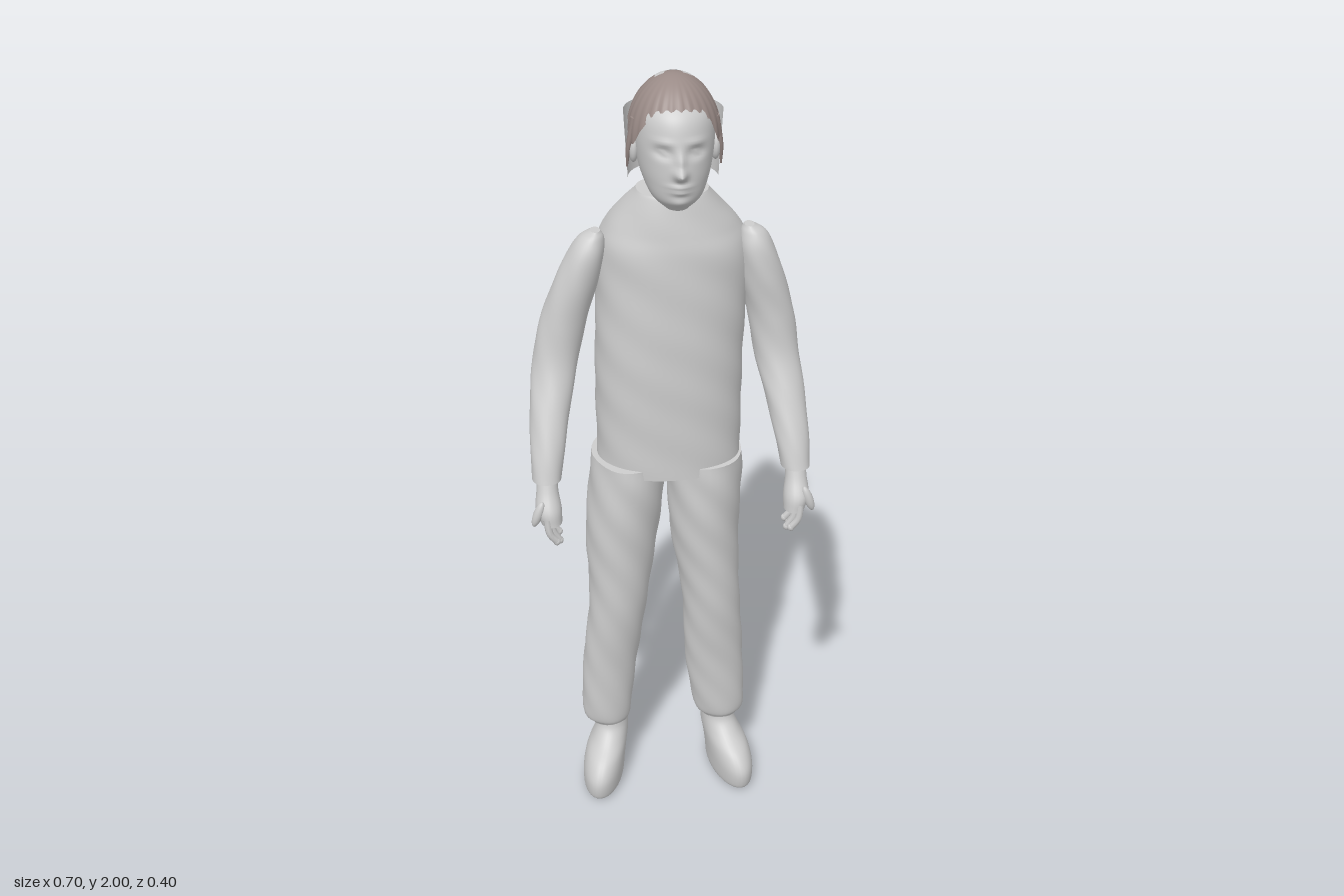
import * as THREE from 'three';
import { ParametricGeometry } from 'three/addons/geometries/ParametricGeometry.js';

const clothSkin = new THREE.MeshStandardMaterial({ color: 0xcccccc, side: THREE.DoubleSide });
clothSkin.name = 'light grey';
const hairBrown = new THREE.MeshStandardMaterial({ color: 0x9a8b87, side: THREE.DoubleSide });
hairBrown.name = 'grey brown hair';

const CX = 0.015; // head and torso sit slightly to the model's left

// Smooth closed body through horizontal rings [y, cx, cz, rx, rz], bottom to top
function loft(sections, { rows = 32, seg = 32, square = 1, rule } = {}) {
  const centre = new THREE.CatmullRomCurve3(sections.map(s => new THREE.Vector3(s[1], s[0], s[2])), false, 'catmullrom');
  const radius = new THREE.CatmullRomCurve3(sections.map(s => new THREE.Vector3(s[3], s[4], 0)), false, 'catmullrom');
  const pos = [], index = [];
  const power = v => Math.sign(v) * Math.abs(v) ** square;
  const p = new THREE.Vector3();
  for (let i = 0; i <= rows; i++) {
    const c = centre.getPoint(i / rows), r = radius.getPoint(i / rows);
    for (let j = 0; j < seg; j++) {
      const a = j / seg * Math.PI * 2;
      p.set(c.x + power(Math.sin(a)) * r.x, c.y, c.z + power(Math.cos(a)) * r.y);
      if (rule) rule(p, a, c);
      pos.push(p.x, p.y, p.z);
    }
  }
  for (let i = 0; i < rows; i++) for (let j = 0; j < seg; j++) {
    const a = i * seg + j, b = i * seg + (j + 1) % seg;
    index.push(a, b, a + seg, b, b + seg, a + seg);
  }
  // Flat end caps with their own vertices
  for (const [row, up] of [[0, false], [rows, true]]) {
    const start = pos.length / 3;
    for (let j = 0; j < seg; j++) pos.push(...pos.slice((row * seg + j) * 3, (row * seg + j) * 3 + 3));
    const c = centre.getPoint(row / rows);
    pos.push(c.x, c.y, c.z);
    for (let j = 0; j < seg; j++) {
      const a = start + j, b = start + (j + 1) % seg;
      index.push(start + seg, up ? a : b, up ? b : a);
    }
  }
  const g = new THREE.BufferGeometry();
  g.setAttribute('position', new THREE.Float32BufferAttribute(pos, 3));
  g.setIndex(index);
  g.computeVertexNormals();
  return g;
}

function add(group, name, geometry, material = clothSkin) {
  const m = new THREE.Mesh(geometry, material);
  m.name = name;
  group.add(m);
  return m;
}

function ellipsoid(group, name, [x, y, z], [rx, ry, rz], material) {
  const m = add(group, name, new THREE.SphereGeometry(1, 16, 12), material);
  m.position.set(x, y, z);
  m.scale.set(rx, ry, rz);
  return m;
}

// Soft folds in the cloth
const folds = amount => (p, a, c) => {
  const k = 1 + amount * Math.sin(p.y * 31 + 2 * a) * Math.sin(p.y * 17 + 3 * a);
  p.x = c.x + (p.x - c.x) * k;
  p.z = c.z + (p.z - c.z) * k;
};

function buildHead() {
  const head = new THREE.Group();
  head.name = 'head';
  // Facial relief: [x, y, width, height, depth]
  const relief = [
    [0, 1.808, 0.013, 0.013, 0.028], [0, 1.835, 0.01, 0.022, 0.013],
    [0, 1.778, 0.024, 0.006, 0.008], [0, 1.765, 0.02, 0.006, 0.008], [0, 1.738, 0.022, 0.012, 0.007],
    [-0.037, 1.853, 0.02, 0.012, -0.013], [0.037, 1.853, 0.02, 0.012, -0.013],
    [-0.037, 1.853, 0.009, 0.005, 0.008], [0.037, 1.853, 0.009, 0.005, 0.008],
    [-0.037, 1.877, 0.022, 0.007, 0.004], [0.037, 1.877, 0.022, 0.007, 0.004],
  ];
  add(head, 'face', loft([
    [1.712, CX, 0.08, 0.028, 0.04], [1.74, CX, 0.074, 0.058, 0.07], [1.78, CX, 0.048, 0.077, 0.104],
    [1.82, CX, 0.034, 0.087, 0.118], [1.87, CX, 0.028, 0.092, 0.12], [1.92, CX, 0.022, 0.09, 0.112],
    [1.955, CX, 0.02, 0.07, 0.082], [1.985, CX, 0.02, 0.035, 0.042], [1.99, CX, 0.02, 0.002, 0.002],
  ], {
    rows: 72, seg: 80, rule: p => {
      if (p.z < 0.06) return;
      for (const [x, y, w, h, d] of relief)
        p.z += d * Math.exp(-(((p.x - CX - x) / w) ** 2) - ((p.y - y) / h) ** 2);
    },
  }));
  add(head, 'neck', loft([[1.62, CX, -0.01, 0.07, 0.065], [1.7, CX, 0, 0.058, 0.06], [1.79, CX, 0.01, 0.06, 0.065]]));

  // Open shell around the back of the head
  const shell = add(head, 'backOfHead', new THREE.CylinderGeometry(1, 0.92, 0.16, 32, 4, true, Math.PI / 2, Math.PI));
  shell.position.set(CX, 1.835, 0.015);
  shell.scale.set(0.114, 1, 0.122);

  // Hair dome with an uneven hairline
  add(head, 'hairCap', new ParametricGeometry((u, v, t) => {
    const a = u * Math.PI * 2, front = Math.cos(a);
    const temple = Math.exp(-(((Math.abs(Math.sin(a)) - 0.9) / 0.12) ** 2)) * (front > 0 ? 1 : 0);
    const edge = 1.9 + 0.034 * Math.max(front, 0) ** 2 - 0.05 * temple + 0.005 * Math.sin(a * 17);
    const theta = (1 - v) * Math.acos((edge - 1.86) / 0.14);
    const s = Math.sin(theta) * (1 + 0.012 * Math.sin(a * 26) * (1 - v));
    t.set(CX + 0.107 * s * Math.sin(a), 1.86 + 0.14 * Math.cos(theta), 0.016 + 0.124 * s * front);
  }, 96, 20), hairBrown);

  // Bare patch showing through on the crown
  const patch = add(head, 'scalpPatch', new THREE.SphereGeometry(1, 24, 6, Math.PI, Math.PI, 0.2, 0.2));
  patch.position.set(CX, 1.86, 0.016);
  patch.scale.set(0.109, 0.1405, 0.126);

  for (const s of [-1, 1]) {
    ellipsoid(head, 'ear', [CX + s * 0.094, 1.835, 0.035], [0.012, 0.033, 0.02]);
    add(head, 'templeStrand', loft([
      [1.79, CX + s * 0.108, 0.03, 0.002, 0.003], [1.84, CX + s * 0.105, 0.04, 0.006, 0.011],
      [1.91, CX + s * 0.092, 0.045, 0.008, 0.014],
    ], { rows: 10, seg: 10 }), hairBrown);
  }

  // Gathered ponytail with ridged strands
  ellipsoid(head, 'ponytailKnot', [0.015, 1.93, -0.108], [0.024, 0.026, 0.035], hairBrown);
  add(head, 'ponytail', loft([
    [1.635, 0.03, -0.158, 0.004, 0.004], [1.68, 0.026, -0.156, 0.024, 0.017], [1.75, 0.022, -0.151, 0.042, 0.029],
    [1.83, 0.02, -0.145, 0.047, 0.031], [1.9, 0.018, -0.134, 0.036, 0.028], [1.94, 0.016, -0.125, 0.022, 0.021],
    [1.955, 0.015, -0.12, 0.004, 0.004],
  ], {
    rows: 40, seg: 96, rule: (p, a, c) => {
      const k = 1 + 0.09 * Math.sin(a * 16 + p.y * 20);
      p.x = c.x + (p.x - c.x) * k;
      p.z = c.z + (p.z - c.z) * k;
    },
  }), hairBrown);
  return head;
}

function buildArm(s) {
  const arm = new THREE.Group();
  arm.name = s > 0 ? 'leftArm' : 'rightArm';
  const dx = s > 0 ? 0.03 : 0; // the left shoulder sits further out
  // Sleeve, from cuff to shoulder
  add(arm, 'sleeve', loft([
    [1.035, s * 0.309, 0.125, 0.036, 0.038], [1.1, s * 0.303, 0.1, 0.042, 0.043], [1.2, s * 0.29, 0.053, 0.05, 0.048],
    [1.3, s * 0.272, 0.008, 0.056, 0.052], [1.4, s * 0.25 + dx * 0.2, -0.005, 0.057, 0.055],
    [1.5, s * 0.217 + dx * 0.5, -0.002, 0.053, 0.056], [1.57, s * 0.192 + dx * 0.8, 0.001, 0.044, 0.05],
    [1.61, s * 0.178 + dx, 0.001, 0.031, 0.036], [1.628, s * 0.168 + dx, 0.001, 0.012, 0.02],
  ], { rows: 48, rule: folds(0.025) }));
  // Wrist and palm
  add(arm, 'palm', loft([
    [0.935, s * 0.302, 0.165, 0.026, 0.033], [0.97, s * 0.308, 0.156, 0.032, 0.038],
    [1.01, s * 0.309, 0.14, 0.027, 0.03], [1.05, s * 0.308, 0.125, 0.026, 0.027],
  ], { seg: 20, rows: 14 }));
  for (let i = 0; i < 4; i++) {
    const z = 0.142 + i * 0.016, x = 0.292 + (i % 2) * 0.008;
    const path = new THREE.CatmullRomCurve3([
      new THREE.Vector3(s * (x + 0.014), 0.955, z), new THREE.Vector3(s * (x + 0.008), 0.915, z + 0.003),
      new THREE.Vector3(s * (x - 0.008), 0.882 + Math.abs(i - 1.5) * 0.006, z),
    ]);
    add(arm, 'finger', new THREE.TubeGeometry(path, 8, 0.009, 8));
    const tip = path.getPoint(1);
    ellipsoid(arm, 'fingertip', [tip.x, tip.y, tip.z], [0.009, 0.01, 0.009]);
  }
  const thumb = ellipsoid(arm, 'thumb', [s * 0.335, 0.965, 0.178], [0.012, 0.036, 0.013]);
  thumb.rotation.z = s * 0.35;
  return arm;
}

function buildLeg(s) {
  const leg = new THREE.Group();
  leg.name = s > 0 ? 'leftLeg' : 'rightLeg';
  // Trouser centres differ a little between the two sides
  const rows = s > 0
    ? [[0.18, 0.15, 0.05], [0.22, 0.147, 0.07], [0.4, 0.131, 0.079], [0.6, 0.117, 0.077], [0.8, 0.102, 0.09], [0.95, 0.1, 0.096], [1.02, 0.099, 0.095]]
    : [[0.18, -0.16, 0.05], [0.22, -0.165, 0.066], [0.4, -0.152, 0.073], [0.6, -0.13, 0.077], [0.8, -0.114, 0.094], [0.95, -0.1, 0.097], [1.02, -0.094, 0.095]];
  const depth = [[0, 0.045], [0, 0.056], [0.003, 0.063], [0.012, 0.078], [-0.007, 0.107], [-0.02, 0.125], [-0.024, 0.128]];
  add(leg, 'trouserLeg', loft(rows.map(([y, x, r], i) => [y, x, depth[i][0], r, depth[i][1]]), { rows: 56, rule: folds(0.03) }));
  // Rounded shoe, toes turned slightly out
  const x = s > 0 ? 0.165 : -0.17;
  add(leg, 'shoe', loft([
    [0, x + s * 0.01, 0.03, 0.047, 0.105], [0.015, x + s * 0.01, 0.031, 0.055, 0.119], [0.06, x + s * 0.008, 0.031, 0.057, 0.122],
    [0.1, x + s * 0.002, 0.02, 0.055, 0.108], [0.135, x - s * 0.008, 0.001, 0.049, 0.08],
    [0.165, x - s * 0.014, -0.002, 0.044, 0.054], [0.195, x - s * 0.016, -0.002, 0.042, 0.045],
  ], { rows: 36, rule: p => { p.x += s * 0.16 * (p.z - 0.03); } }));
  return leg;
}

export function createModel() {
  const model = new THREE.Group();
  model.name = 'standingFigure';

  // Loose top with sloping shoulders and a high collar
  add(model, 'top', loft([
    [0.995, 0.008, -0.024, 0.182, 0.13], [1.06, 0.008, -0.026, 0.182, 0.133], [1.2, 0.01, -0.031, 0.183, 0.139],
    [1.35, 0.012, -0.037, 0.183, 0.143], [1.5, 0.018, -0.046, 0.184, 0.149], [1.58, 0.02, -0.05, 0.181, 0.15],
    [1.63, 0.019, -0.047, 0.158, 0.138], [1.68, 0.016, -0.026, 0.12, 0.107],
    [1.715, CX, -0.007, 0.092, 0.08], [1.725, CX, -0.005, 0.085, 0.074],
  ], { rows: 64, seg: 56, square: 0.9, rule: folds(0.012) }));

  model.add(buildHead());
  for (const s of [-1, 1]) model.add(buildArm(s), buildLeg(s));
  return model;
}
